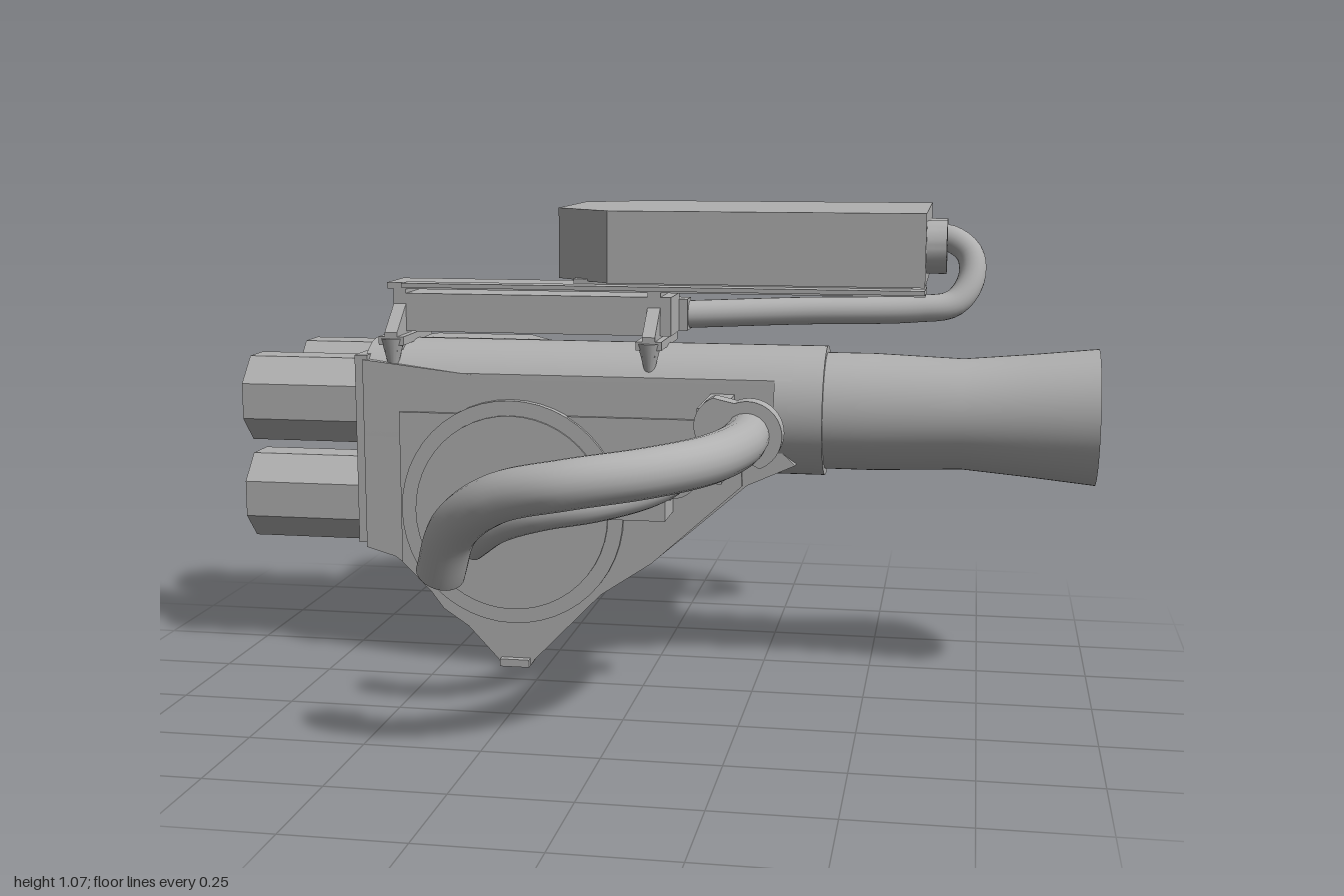
import * as THREE from 'three';
import { toCreasedNormals } from 'three/addons/utils/BufferGeometryUtils.js';

export function createModel() {
  const model = new THREE.Group();
  const metal = new THREE.MeshStandardMaterial({ color: 0xb0b0b0 });
  metal.name = 'grey metal';

  const add = (name, geo) => {
    const m = new THREE.Mesh(geo, metal);
    m.name = name;
    model.add(m);
    return m;
  };
  const shapeOf = (pts) => new THREE.Shape(pts.map(([x, y]) => new THREE.Vector2(x, y)));
  // Box from its min and max along each axis
  const box = (name, x0, x1, y0, y1, z0, z1) =>
    add(name, new THREE.BoxGeometry(x1 - x0, y1 - y0, z1 - z0)
      .translate((x0 + x1) / 2, (y0 + y1) / 2, (z0 + z1) / 2));
  // Outline in x, y pushed along z
  const prismZ = (pts, z0, z1) =>
    new THREE.ExtrudeGeometry(shapeOf(pts), { depth: z1 - z0, bevelEnabled: false }).translate(0, 0, z0);
  // Outline in z, y pushed along x
  const prismX = (pts, x0, x1) =>
    new THREE.ExtrudeGeometry(shapeOf(pts.map(([z, y]) => [-z, y])), { depth: x1 - x0, bevelEnabled: false })
      .rotateY(Math.PI / 2).translate(x0, 0, 0);
  // Outline in x, z pushed along y
  const prismY = (pts, y0, y1) =>
    new THREE.ExtrudeGeometry(shapeOf(pts.map(([x, z]) => [x, -z])), { depth: y1 - y0, bevelEnabled: false })
      .rotateX(-Math.PI / 2).translate(0, y0, 0);
  // Outline with flat top: regular polygon of the given half height
  const ngon = (cx, cy, half, n = 8) => Array.from({ length: n }, (_, i) => {
    const a = (i + 0.5) * 2 * Math.PI / n, r = half / Math.cos(Math.PI / n);
    return [cx + r * Math.cos(a), cy + r * Math.sin(a)];
  });
  const discZ = (name, x, y, r, z0, z1) =>
    add(name, new THREE.CylinderGeometry(r, r, z1 - z0, 48).rotateX(Math.PI / 2).translate(x, y, (z0 + z1) / 2));
  // Bent hose with closed ends
  const hose = (name, pts, r) => {
    const curve = new THREE.CatmullRomCurve3(pts.map((p) => new THREE.Vector3(...p)));
    add(name, new THREE.TubeGeometry(curve, 64, r, 20));
    for (const t of [0, 1]) {
      const cap = add(name + 'Cap', new THREE.CircleGeometry(r, 20));
      const dir = curve.getTangent(t).multiplyScalar(t ? 1 : -1);
      cap.position.copy(curve.getPoint(t));
      cap.quaternion.setFromUnitVectors(new THREE.Vector3(0, 0, 1), dir);
    }
  };

  // Barrel: round section with flattened front and back
  const AY = 0.61, AZ = -0.245;
  const section = Array.from({ length: 64 }, (_, i) => {
    const a = i * Math.PI / 32;
    return [THREE.MathUtils.clamp(AZ + 0.15 * Math.cos(a), -0.37, -0.12), AY + 0.15 * Math.sin(a)];
  });
  add('barrel', toCreasedNormals(prismX(section, -0.69, 0.32), 0.4));
  const collar = new THREE.CylinderGeometry(0.15, 0.15, 0.11, 64);
  add('barrelCollar', collar.rotateZ(-Math.PI / 2).translate(0.335, AY, AZ));

  // Flared nozzle
  const nozzle = [[0, 0.35], [0.135, 0.35], [0.135, 0.5], [0.127, 0.7], [0.14, 0.85], [0.155, 1], [0, 1]];
  add('nozzle', toCreasedNormals(
    new THREE.LatheGeometry(nozzle.map(([r, x]) => new THREE.Vector2(r, x)), 64)
      .rotateZ(-Math.PI / 2).translate(0, AY, AZ), 0.5));

  // Lower body with a swept underside, narrowed toward the back
  const body = prismZ([[-0.69, 0.72], [0.2, 0.62], [0.33, 0.5], [0.22, 0.45], [0.1, 0.345], [0, 0.26],
    [-0.12, 0.18], [-0.22, 0.155], [-0.44, 0.155], [-0.55, 0.2], [-0.62, 0.25], [-0.69, 0.27]], -0.34, -0.12);
  add('lowerBody', body);
  const rear = prismZ([[-0.69, 0.62], [0.2, 0.62], [0.3, 0.52], [0.21, 0.47], [0, 0.29],
    [-0.12, 0.21], [-0.22, 0.185], [-0.44, 0.185], [-0.55, 0.23], [-0.69, 0.3]], -0.37, -0.34);
  add('lowerBodyRear', rear);
  box('endPlate', -0.71, -0.68, 0.28, 0.73, -0.36, -0.125);

  // Pointed front plate, its round cover and foot
  add('frontPlate', prismZ([[-0.6, 0.24], [-0.53, 0.17], [-0.5, 0.13], [-0.44, 0.09], [-0.37, 0.015], [-0.36, 0],
    [-0.29, 0], [-0.28, 0.015], [-0.12, 0.18], [0, 0.26], [0.21, 0.45], [0.2, 0.6], [-0.6, 0.6]], -0.135, -0.11));
  const keel = prismZ([[-0.5, 0.16], [-0.4, 0.08], [-0.26, 0.08], [-0.16, 0.16], [-0.2, 0.2], [-0.46, 0.2]], -0.23, -0.13);
  const kp = keel.attributes.position;
  for (let i = 0; i < kp.count; i++) if (kp.getZ(i) < -0.2 && kp.getY(i) < 0.12) kp.setY(i, 0.105);
  keel.computeVertexNormals();
  add('keel', keel);
  discZ('coverRim', -0.33, 0.37, 0.265, -0.12, -0.1);
  discZ('cover', -0.33, 0.37, 0.23, -0.12, -0.094);
  box('foot', -0.36, -0.29, 0, 0.018, -0.13, -0.092);

  // Eight-sided canisters
  for (const [x0, x1, y, z] of [[-1, -0.68, 0.61, -0.247], [-1, -0.68, 0.372, -0.247], [-0.945, -0.6, 0.62, -0.485]]) {
    add('canister', prismX(ngon(z, y, 0.102), x0, x1));
  }

  // Rear housing with a slanted end
  const housing = prismX([[-0.3, 0.755], [-0.56, 0.735], [-0.59, 0.67], [-0.59, 0.54], [-0.54, 0.47], [-0.3, 0.45]], -0.63, -0.28);
  const hp = housing.attributes.position;
  for (let i = 0; i < hp.count; i++) {
    if (hp.getX(i) > -0.4) hp.setX(i, -0.28 + Math.min(0, hp.getZ(i) + 0.37) * 0.55);
  }
  housing.computeVertexNormals();
  add('rearHousing', housing);

  // Rear knob
  add('knobBase', prismZ(ngon(-0.325, 0.37, 0.185), -0.59, -0.35));
  add('knob', prismZ(ngon(-0.325, 0.37, 0.138), -0.68, -0.58));

  // Top rail on two clamps
  box('railPlate', -0.65, 0.61, 0.88, 0.895, -0.33, -0.2);
  box('railLip', -0.6, 0.61, 0.888, 0.898, -0.2, -0.15);
  box('railCore', -0.63, 0.03, 0.78, 0.87, -0.33, -0.2);
  for (const x of [-0.62, -0.01]) {
    add('clamp', prismX([[-0.37, 0.74], [-0.125, 0.74], [-0.125, 0.785], [-0.2, 0.845], [-0.2, 0.885], [-0.33, 0.885],
      [-0.33, 0.85], [-0.37, 0.82]], x - 0.015, x + 0.015));
    add('clampTip', new THREE.CylinderGeometry(0.028, 0.01, 0.07, 16).translate(x, 0.735, -0.14));
    box('clampStrap', x - 0.03, x + 0.03, 0.755, 0.775, -0.36, -0.125);
  }

  // Sight box with two cut corners
  add('sightBox', prismY([[-0.25, -0.275], [-0.11, -0.15], [0.61, -0.15], [0.61, -0.69], [-0.11, -0.69], [-0.25, -0.59]],
    0.905, 1.07));
  box('sightMount', -0.2, 0.58, 0.89, 0.91, -0.33, -0.2);
  // Hollow lens tube
  const lens = [[0, 0.612], [0.048, 0.612], [0.05, 0.655], [0.06, 0.655], [0.06, 0.6]];
  add('lens', toCreasedNormals(
    new THREE.LatheGeometry(lens.map(([r, x]) => new THREE.Vector2(r, x)).reverse(), 40)
      .rotateZ(-Math.PI / 2).translate(0, 0.99, -0.245), 0.5)).material = metal;
  metal.side = THREE.DoubleSide;

  // Sight cable running back under the box
  hose('sightCable', [[0.6, 0.99, -0.625], [0.66, 0.985, -0.62], [0.705, 0.95, -0.605], [0.71, 0.89, -0.575],
    [0.67, 0.835, -0.54], [0.58, 0.823, -0.51], [0.3, 0.82, -0.44], [0.03, 0.815, -0.36]], 0.033);
  add('cableCollar', new THREE.CylinderGeometry(0.045, 0.045, 0.04, 24).rotateZ(Math.PI / 2).translate(0.63, 0.99, -0.622));
  box('cableSocket', -0.03, 0.05, 0.78, 0.855, -0.38, -0.32);

  // Large front hose with arm and flange
  box('largeHoseArm', 0.135, 0.19, 0.495, 0.66, -0.13, 0.1);
  const flange = new THREE.Shape();
  flange.absarc(0.25, 0.61, 0.075, -1.2, 1.94);
  flange.absarc(0.2, 0.63, 0.065, 1.94, 5.08);
  add('largeHoseFlange', toCreasedNormals(
    new THREE.ExtrudeGeometry(flange, { depth: 0.05, bevelEnabled: false, curveSegments: 24 }).translate(0, 0, 0.095), 0.5));
  hose('largeHose', [[0.248, 0.61, 0.1], [0.245, 0.61, 0.27], [0.2, 0.61, 0.45], [0.1, 0.605, 0.575],
    [-0.04, 0.59, 0.635], [-0.18, 0.555, 0.615], [-0.28, 0.48, 0.56], [-0.325, 0.375, 0.51]], 0.05);

  // Small front hose with block and flange
  box('smallHoseBlock', -0.09, 0.05, 0.385, 0.49, -0.13, 0);
  box('smallHoseArm', 0.0, 0.06, 0.43, 0.53, -0.13, -0.02);
  discZ('smallHoseFlange', 0.07, 0.495, 0.055, -0.03, 0.005);
  hose('smallHose', [[0.075, 0.495, -0.01], [0.065, 0.495, 0.11], [0.02, 0.49, 0.22], [-0.06, 0.48, 0.295],
    [-0.16, 0.465, 0.32], [-0.26, 0.43, 0.3], [-0.33, 0.38, 0.27]], 0.038);

  return model;
}
